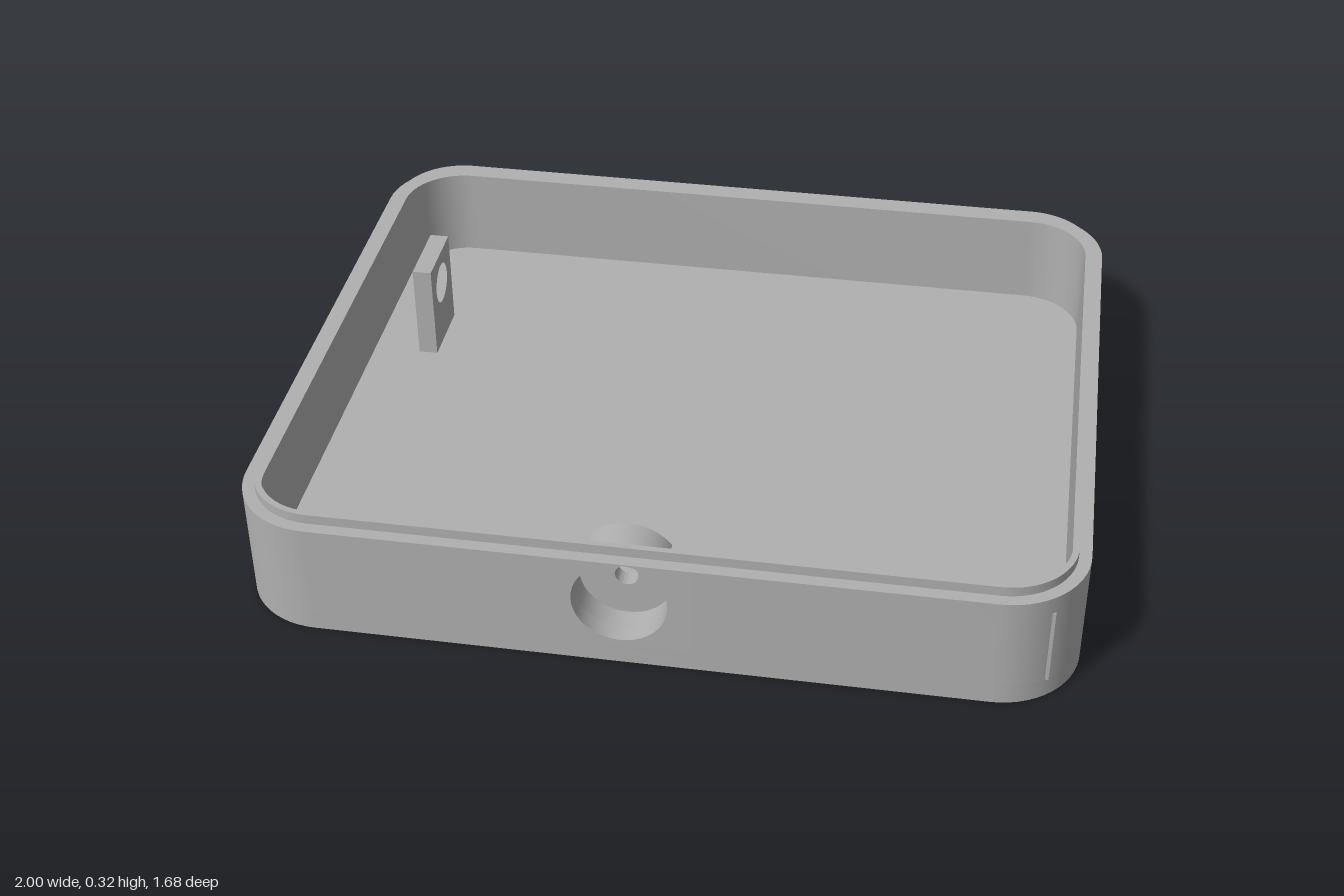
import * as THREE from 'three';
import { toCreasedNormals } from 'three/addons/utils/BufferGeometryUtils.js';

const V = (x, y) => new THREE.Vector2(x, y);

// Rounded rectangle in plan (x, z), from the front left corner round to the front right one
function rounded(hx, hz, r, cx = 0, cz = 0) {
  const pts = [];
  [[1, 1], [1, -1], [-1, -1], [-1, 1]].forEach(([sx, sz], i) => {
    for (let k = 0; k <= 14; k++) {
      const a = Math.PI / 2 * (1 - i - k / 14);
      pts.push(V(cx + sx * (hx - r) + r * Math.cos(a), cz + sz * (hz - r) + r * Math.sin(a)));
    }
  });
  return pts;
}
const rect = (x0, x1, y0, y1) => [V(x0, y0), V(x1, y0), V(x1, y1), V(x0, y1)];
function circle(cx, cy, r, n = 40) {
  return Array.from({ length: n }, (_, i) =>
    V(cx + r * Math.cos(i / n * 2 * Math.PI), cy + r * Math.sin(i / n * 2 * Math.PI)));
}

export function createModel() {
  const model = new THREE.Group();
  model.name = 'enclosureBase';
  const plastic = new THREE.MeshStandardMaterial({ color: 0xb0b0b0 });
  plastic.name = 'greyPlastic';

  function add(name, geometry, parent = model) {
    const mesh = new THREE.Mesh(toCreasedNormals(geometry, 0.5), plastic);
    mesh.name = name;
    parent.add(mesh);
  }
  function extrude(outline, holes, depth) {
    const shape = new THREE.Shape(outline);
    shape.holes = holes.map(h => new THREE.Path(h));
    return new THREE.ExtrudeGeometry(shape, { depth, bevelEnabled: false });
  }
  // Plan outline raised from y0 to y1
  const slab = (outline, holes, y0, y1) =>
    extrude(outline, holes, y1 - y0).rotateX(Math.PI / 2).translate(0, y1, 0);
  // Outline in (z, y) extruded along +x from x0 to x1
  const sideways = (outline, holes, x0, x1) =>
    extrude(outline.map(p => V(-p.x, p.y)), holes.map(h => h.map(p => V(-p.x, p.y))), x1 - x0)
      .rotateY(Math.PI / 2).translate(x0, 0, 0);

  const outer = rounded(1, 0.84, 0.2);
  const inner = rounded(0.955, 0.795, 0.155);
  const pocket = rect(0.1, 0.85, 0.22, 0.76);

  // Floor, with the battery opening and a shallow recess underneath
  const recess = rounded(0.355, 0.65, 0.05, -0.45, -0.01);
  add('floorUnderside', slab(outer, [pocket, recess], 0, 0.02));
  add('floor', slab(outer, [pocket], 0.02, 0.05));

  // Wall, left open at the front for the panel with the round opening
  const gapL = -0.22, gapR = 0.1;
  add('wall', slab([V(gapR, 0.84), ...outer, V(gapL, 0.84),
    V(gapL, 0.795), ...inner.slice().reverse(), V(gapR, 0.795)], [], 0.05, 0.295));
  add('frontPanel', extrude(rect(gapL, gapR, 0.05, 0.295), [circle(-0.06, 0.18, 0.113)], 0.045)
    .translate(0, 0, 0.795));
  add('lip', slab(rounded(0.97, 0.81, 0.17), [inner], 0.295, 0.32));

  // Round cup behind the front opening
  const profile = [[0.028, 0.7], [0.123, 0.7], [0.123, 0.8], [0.113, 0.8],
    [0.113, 0.74], [0.028, 0.74], [0.028, 0.7]].map(p => V(...p));
  add('frontCup', new THREE.LatheGeometry(profile, 40).rotateX(Math.PI / 2).translate(-0.06, 0.18, 0));

  // Battery box: side walls with a latch notch, then a roof with a cable bore
  const box = new THREE.Group();
  box.name = 'batteryBox';
  model.add(box);
  const plan = [V(0.02, 0.14), V(0.928, 0.14), V(0.928, 0.8), V(0.06, 0.8), V(0.06, 0.74), V(0.02, 0.74)];
  const notched = [V(0.1, 0.22), V(0.85, 0.22), V(0.85, 0.76), V(0.1, 0.76),
    V(0.1, 0.57), V(0.05, 0.57), V(0.05, 0.41), V(0.1, 0.41)];
  add('boxWallBottom', slab(plan, [pocket], 0.05, 0.055), box);
  add('boxWallNotch', slab(plan, [notched], 0.055, 0.1), box);
  add('boxWallTop', slab(plan, [pocket], 0.1, 0.17), box);
  add('boxCeiling', slab(plan, [circle(0.47, 0.475, 0.016, 20)], 0.17, 0.188), box);
  add('boxRoofBore', sideways(rect(0.14, 0.74, 0.188, 0.25), [circle(0.475, 0.21, 0.02, 20)], 0.02, 0.49), box);
  add('boxRoof', slab([V(0.49, 0.14), V(0.928, 0.14), V(0.928, 0.8), V(0.06, 0.8),
    V(0.06, 0.74), V(0.49, 0.74)], [], 0.188, 0.25), box);

  // Upright tab with a round hole
  add('mountingTab', sideways(rect(-0.44, -0.25, 0.05, 0.31), [circle(-0.345, 0.22, 0.055)], -0.83, -0.78));

  return model;
}
